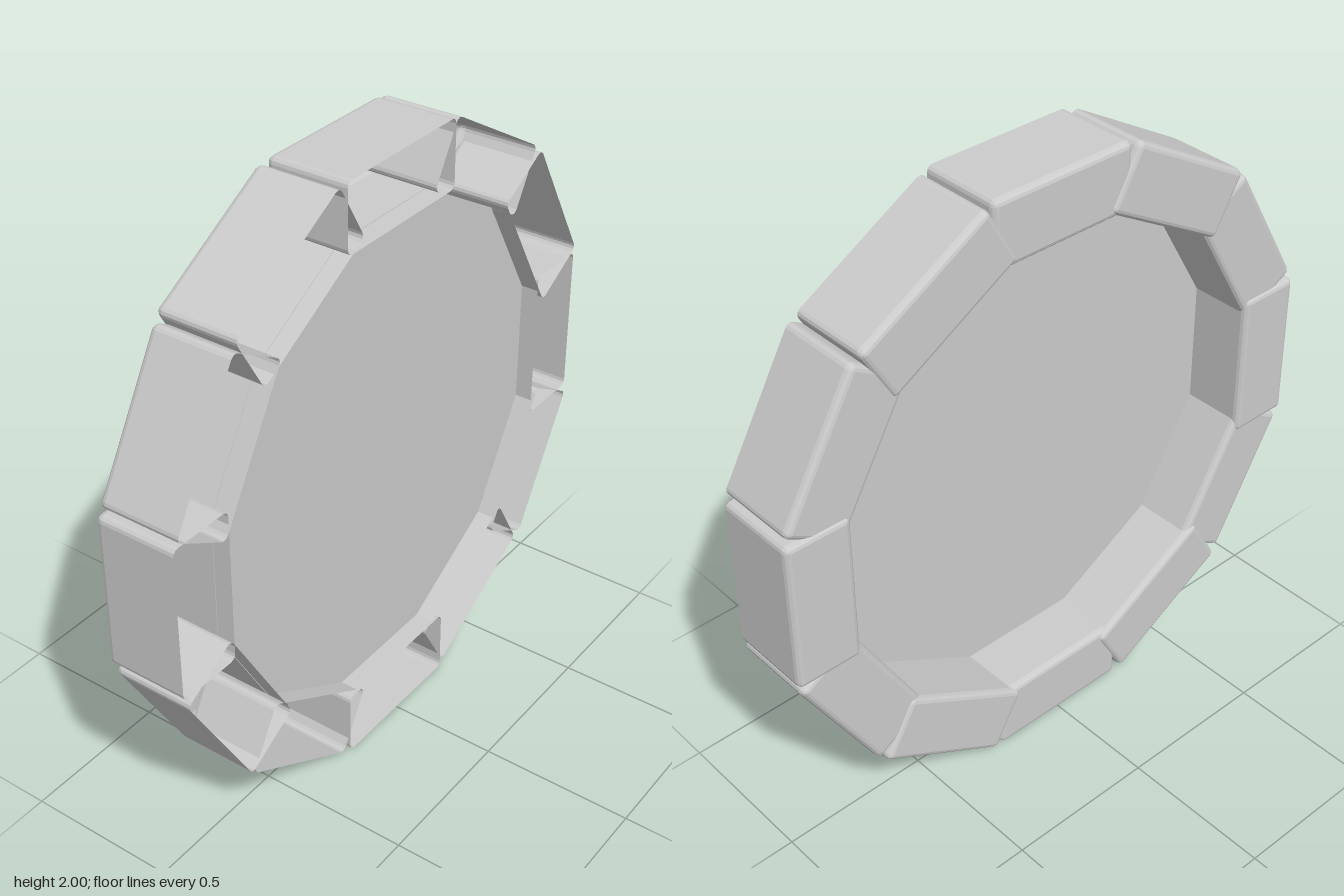
import * as THREE from 'three';

const SIDES = 12, INNER = 0.78, OUTER = 1, HALF_LENGTH = 0.255, RADIUS = 0.02;
const FRONT = 0.132, BACK = -0.14;

const material = new THREE.MeshStandardMaterial({
  color: 0xcccccc, flatShading: true, side: THREE.DoubleSide,
});

// Rounded rectangle in the radial (y) / tangential (z) plane, shrunk by inset
function blockLoop(x, inset, steps = 3) {
  const r = RADIUS - inset, mid = (INNER + OUTER) / 2;
  const halfY = (OUTER - INNER) / 2 - RADIUS, halfZ = HALF_LENGTH - RADIUS;
  const signs = [[1, 1], [-1, 1], [-1, -1], [1, -1]];
  const points = [];
  signs.forEach(([sy, sz], corner) => {
    for (let i = 0; i <= steps; i++) {
      const a = (corner + i / steps) * Math.PI / 2;
      points.push([x, mid + sy * halfY + r * Math.cos(a), sz * halfZ + r * Math.sin(a)]);
    }
  });
  return points;
}

// Hollow block: open towards +x, closed with a rounded edge towards -x
function hollowBlock() {
  const loops = [
    blockLoop(FRONT, 0),
    blockLoop(BACK + 0.02, 0),
    blockLoop(BACK + 0.01, 0.003),
    blockLoop(BACK + 0.003, 0.01),
    blockLoop(BACK, 0.019),
  ];
  const n = loops[0].length, index = [];
  for (let k = 0; k < loops.length - 1; k++) {
    for (let i = 0; i < n; i++) {
      const j = (i + 1) % n;
      const a = k * n + i, b = k * n + j, c = a + n, d = b + n;
      index.push(a, c, b, b, c, d);
    }
  }
  const centre = loops.length * n, last = centre - n;
  for (let i = 0; i < n; i++) index.push(last + (i + 1) % n, last + i, centre);
  const positions = [...loops.flat(2), BACK, (INNER + OUTER) / 2, 0];
  const geometry = new THREE.BufferGeometry();
  geometry.setAttribute('position', new THREE.Float32BufferAttribute(positions, 3));
  geometry.setIndex(index);
  geometry.computeVertexNormals();
  return geometry;
}

export function createModel() {
  const model = new THREE.Group();
  model.name = 'blockRing';

  // Ring of overlapping blocks, every second one set slightly forward
  const blockGeometry = hollowBlock();
  for (let i = 0; i < SIDES; i++) {
    const block = new THREE.Mesh(blockGeometry, material);
    block.name = `rimBlock${i + 1}`;
    block.position.set(i % 2 ? 0 : 0.008, 1, 0);
    block.rotation.x = i * 2 * Math.PI / SIDES;
    model.add(block);
  }

  // Flat panel filling the ring, nearer its open side
  const panelRadius = (INNER + 0.002) / Math.cos(Math.PI / SIDES);
  const panelGeometry = new THREE.CircleGeometry(panelRadius, SIDES, Math.PI / SIDES);
  panelGeometry.rotateY(Math.PI / 2);
  const panel = new THREE.Mesh(panelGeometry, material);
  panel.name = 'centrePanel';
  panel.position.set(0.073, 1, 0);
  model.add(panel);

  return model;
}
